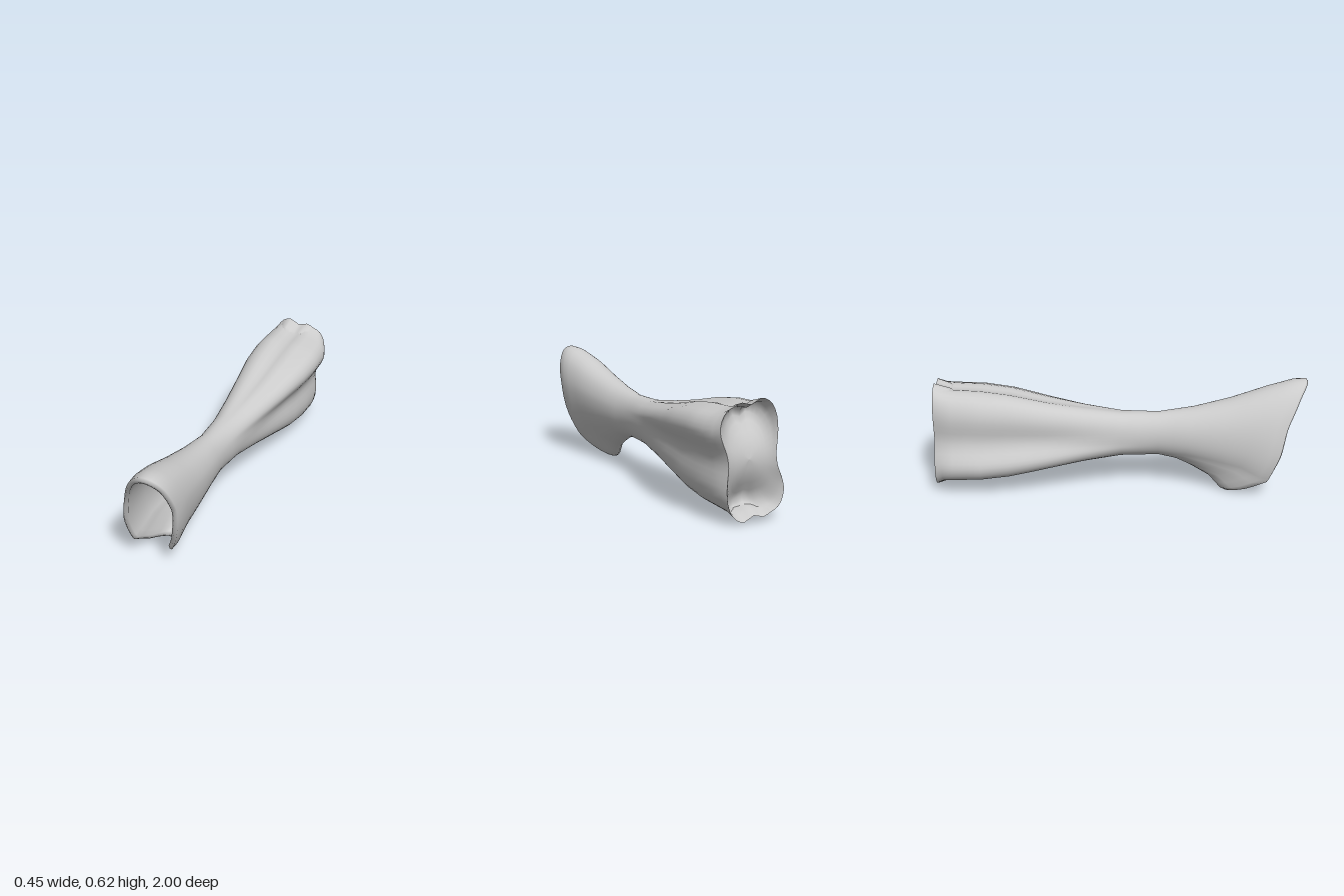
import * as THREE from 'three';

// Half outline of the lobed rear section, repeated after a half turn
const HALF = [
  [0.165, -0.02], [0.178, 0.04], [0.205, 0.09], [0.224, 0.14], [0.216, 0.19], [0.185, 0.23], [0.135, 0.25],
  [0.08, 0.268], [0.015, 0.255], [-0.05, 0.28], [-0.11, 0.265], [-0.15, 0.225], [-0.172, 0.16], [-0.172, 0.09],
];
const SIDES = 56;
const outline = [...HALF, ...HALF.map(([x, y]) => [-x, -y])]
  .map(([x, y]) => new THREE.Vector3(x / 0.225, y / 0.282, 0));
const LOBED = new THREE.CatmullRomCurve3(outline, true).getPoints(SIDES).slice(0, SIDES);
const ROUND = LOBED.map((p) => p.clone().normalize());

// Piecewise linear lookup in rows [key, value, ...] with rising keys
function lookup(rows, key) {
  let i = 0;
  while (i < rows.length - 2 && key > rows[i + 1][0]) i++;
  const t = THREE.MathUtils.clamp((key - rows[i][0]) / (rows[i + 1][0] - rows[i][0]), 0, 1);
  return rows[i].map((v, n) => THREE.MathUtils.lerp(v, rows[i + 1][n], t));
}

// Rear shaft: z, top, bottom, half width
const REAR = [
  [-1, 0.605, 0.012, 0.18], [-0.96, 0.582, 0.04, 0.2], [-0.9, 0.573, 0.05, 0.218], [-0.75, 0.566, 0.06, 0.225],
  [-0.6, 0.545, 0.08, 0.213], [-0.4, 0.5, 0.12, 0.175], [-0.2, 0.465, 0.155, 0.135],
  [0, 0.437, 0.185, 0.1], [0.2, 0.435, 0.19, 0.085],
];
// Front flare: fraction towards the mouth, top, bottom, half width
const FLARE = [
  [0, 0.435, 0.19, 0.085], [0.25, 0.465, 0.172, 0.106], [0.5, 0.515, 0.13, 0.126],
  [0.75, 0.58, 0.08, 0.144], [0.92, 0.615, 0.012, 0.154], [1, 0.618, 0, 0.15],
];
// Slanted mouth: z of the lip by height
const LIP = [[-1, 0.57], [-0.9, 0.67], [-0.7, 0.79], [-0.2, 0.85], [0.3, 0.88], [0.8, 0.95], [1, 0.99]];

function rearRing(z) {
  const [, top, bottom, width] = lookup(REAR, z);
  const lobes = THREE.MathUtils.smoothstep(-z, -0.2, 0.5);
  return ROUND.map((p, i) => {
    const q = p.clone().lerp(LOBED[i], lobes);
    return new THREE.Vector3(q.x * width, (top + bottom) / 2 + q.y * (top - bottom) / 2, z);
  });
}

function flareRing(k, wall = 0, push = 0) {
  const [, top, bottom, width] = lookup(FLARE, k);
  const mid = (top + bottom) / 2;
  return ROUND.map((p) => {
    const y = p.y * ((top - bottom) / 2 - wall * 1.1);
    const x = p.x * (width - wall) + 0.16 * k * y;
    const lip = lookup(LIP, p.y)[1];
    return new THREE.Vector3(x, mid + y, 0.2 + (lip - 0.2) * k + push);
  });
}

// Skin a list of equal rings, going round counter-clockwise
function skin(name, rings, material) {
  const index = [];
  for (let r = 0; r < rings.length - 1; r++) {
    for (let i = 0; i < SIDES; i++) {
      const j = (i + 1) % SIDES;
      const a = r * SIDES + i, b = r * SIDES + j;
      index.push(a, b, a + SIDES, b, b + SIDES, a + SIDES);
    }
  }
  const geometry = new THREE.BufferGeometry().setFromPoints(rings.flat());
  geometry.setIndex(index);
  geometry.computeVertexNormals();
  const mesh = new THREE.Mesh(geometry, material);
  mesh.name = name;
  return mesh;
}

export function createModel() {
  const group = new THREE.Group();
  group.name = 'hollowBone';
  const material = new THREE.MeshStandardMaterial({ color: 0xcccccc, side: THREE.DoubleSide });

  // Shaft, flare, rounded lip and inner funnel as one smooth skin
  const rings = [];
  for (const z of [-1, -0.96, -0.9, -0.82, -0.75, -0.6, -0.5, -0.4, -0.3, -0.2, -0.1, 0, 0.1]) rings.push(rearRing(z));
  for (const k of [0, 0.125, 0.25, 0.375, 0.5, 0.625, 0.75, 0.85, 0.92, 1]) rings.push(flareRing(k));
  rings.push(flareRing(1, 0.012, 0.008));
  for (const k of [1, 0.92, 0.75, 0.5, 0.25, 0]) rings.push(flareRing(k, 0.028));
  const hole = ROUND.map((p) => new THREE.Vector3(p.x * 0.056, 0.31 + p.y * 0.076, 0.1));
  rings.push(hole);
  group.add(skin('shaftAndMouth', rings, material));

  // Flat floor at the narrow end of the funnel
  const centre = hole.map(() => new THREE.Vector3(0, 0.31, 0.1));
  group.add(skin('funnelFloor', [hole, centre], material));

  // Rear end: a saddle with a pocket above and below its middle
  const rim = rearRing(-1);
  const cap = [0, 0.15, 0.3, 0.45, 0.6, 0.72, 0.84, 0.92, 1].map((r) => rim.map((p) => {
    const x = p.x * r, y = (p.y - 0.308) * r;
    const depth = (1 - r ** 6) * (1 - 0.75 * Math.min(1, (x / 0.17) ** 2)) * (0.03 + 0.2 * (y / 0.28) ** 2);
    return new THREE.Vector3(x, 0.308 + y, -1 + depth);
  }));
  group.add(skin('rearSaddle', cap, material));
  return group;
}
